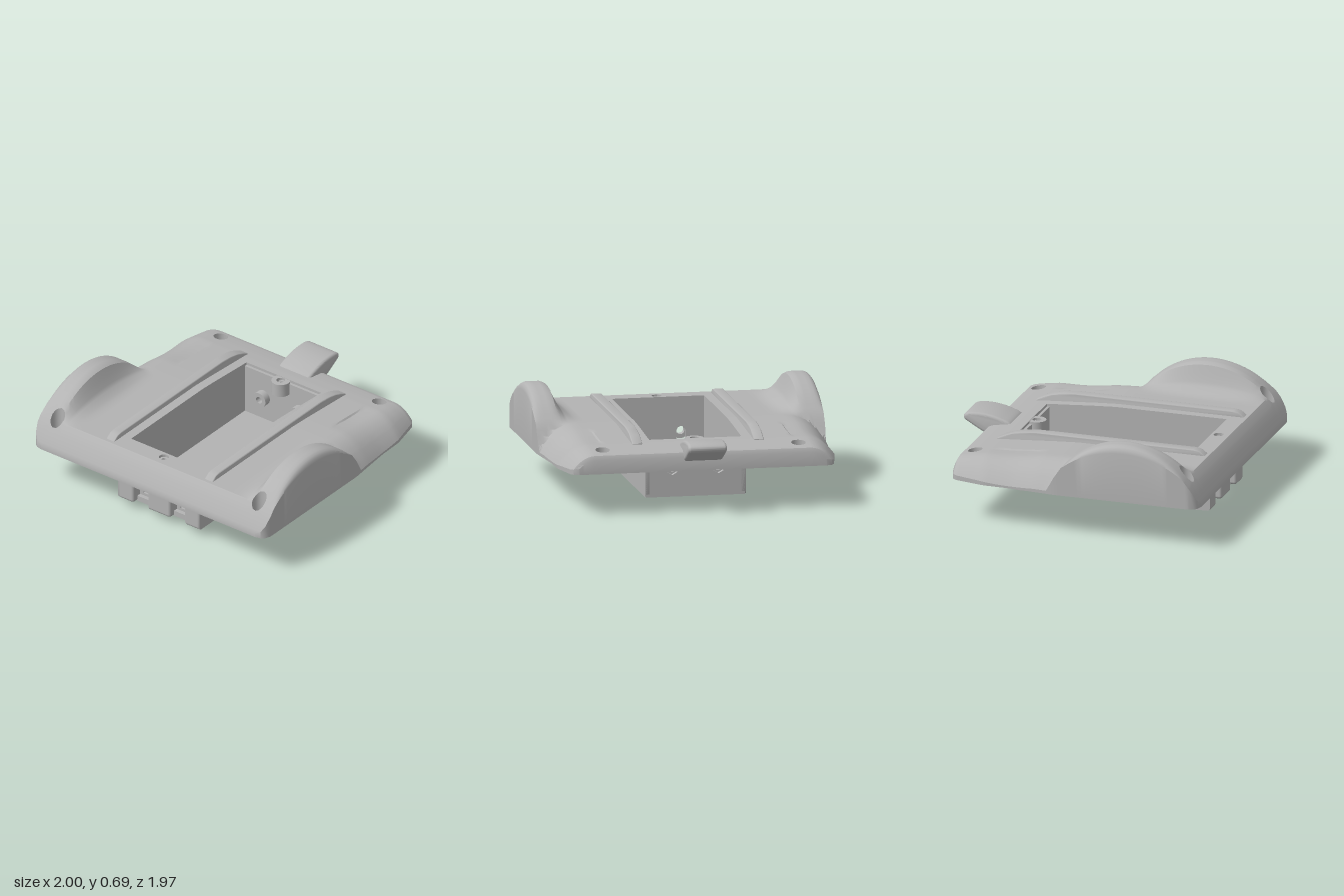
import * as THREE from 'three';
import { toCreasedNormals } from 'three/addons/utils/BufferGeometryUtils.js';
import { RoundedBoxGeometry } from 'three/addons/geometries/RoundedBoxGeometry.js';

const BASE = 0.29;
// Holes through the shell: x, z, radius, warp reach
const HOLES = [
  [0.68, -0.72, 0.05, 0.08], [-0.68, -0.72, 0.05, 0.08],
  [0.865, 0.86, 0.05, 0.08], [-0.865, 0.86, 0.05, 0.08],
  [0, 0.8, 0.035, 0.045],
];
const OPENING = { x: 0.32, z0: -0.54, z1: 0.75 };

// Linear interpolation in a list of [position, value]
function lookup(table, t) {
  if (t <= table[0][0]) return table[0][1];
  for (let i = 1; i < table.length; i++) {
    const [a, va] = table[i - 1], [b, vb] = table[i];
    if (t <= b) return va + (vb - va) * (t - a) / (b - a);
  }
  return table[table.length - 1][1];
}

const deck = [[-0.82, 0.385], [-0.805, 0.415], [-0.78, 0.427], [-0.7, 0.442], [-0.6, 0.455], [-0.4, 0.468], [-0.2, 0.482], [-0.05, 0.49]];
const gripSection = [[0.66, 0], [0.7, 0.03], [0.74, 0.12], [0.78, 0.3], [0.81, 0.56], [0.825, 0.8], [0.84, 0.93], [0.87, 1], [0.96, 1], [0.98, 0.95], [0.993, 0.87], [1, 0.75]];
const halfWidth = [[-0.82, 0.86], [-0.81, 0.893], [-0.79, 0.912], [-0.57, 0.962], [-0.38, 0.967], [-0.05, 1], [0.91, 1], [0.95, 0.985], [0.97, 0.96], [0.98, 0.92]];

// Height of the outer skin: a flat deck with two arched side grips
function height(x, z) {
  const a = Math.abs(x), dz = z - 0.44;
  const arc = 0.11 + Math.sqrt(Math.max(0, 0.334 - dz * dz));
  let body = lookup(deck, z);
  if (z < 0) body -= (body - 0.34) * Math.pow(Math.max(0, (a - 0.72) / 0.26), 2.4);
  if (a > 0.66 && z > -0.6 && z < -0.2) body -= 0.01 * Math.sin(Math.PI * (z + 0.6) / 0.4);
  if (z > 0.44) body = Math.min(body, arc);
  const grip = a < 0.66 ? 0 : arc > 0.49 ? 0.49 + (arc - 0.49) * lookup(gripSection, a) : arc;
  return Math.max(BASE, body, grip);
}

// Solid rim and corner bosses on the underside
function isSolid(x, z) {
  const a = Math.abs(x), e = 1e-6;
  return a > 0.93 - e || z > 0.92 - e || z < -0.78 + e ||
    (a > 0.58 - e && a < 0.78 + e && z < -0.62 + e) || (a > 0.77 - e && z > 0.76 - e);
}

function subdivide(breaks, step) {
  const out = [breaks[0]];
  for (let i = 1; i < breaks.length; i++) {
    const n = Math.ceil((breaks[i] - breaks[i - 1]) / step - 1e-6);
    for (let k = 1; k <= n; k++) out.push(breaks[i - 1] + (breaks[i] - breaks[i - 1]) * k / n);
  }
  return out;
}

// Hollow shell: upper skin, lower skin, and walls on every free edge
function shellGeometry() {
  const half = [0.035, 0.32, 0.39, 0.57, 0.58, 0.63, 0.655, 0.665, 0.73, 0.78, 0.79, 0.815, 0.84, 0.87, 0.915, 0.92, 0.93, 0.96, 0.98, 0.993, 1];
  half.splice(9, 0, 0.76, 0.77);
  const xs = subdivide([...half.map(v => -v).reverse(), ...half], 0.03);
  const zs = subdivide([-0.82, -0.805, -0.78, -0.77, -0.67, -0.62, -0.61, -0.54, -0.2, -0.08, 0, 0.75, 0.76, 0.765, 0.81, 0.835, 0.875, 0.885, 0.91, 0.92, 0.95, 0.97, 0.98], 0.03);
  const point = (i, j) => {
    let x = xs[i], z = zs[j];
    const solid = isSolid(x, z);
    for (const [cx, cz, r, reach] of HOLES) {
      const dx = x - cx, dz = z - cz, m = Math.max(Math.abs(dx), Math.abs(dz));
      if (m > reach || m < r - 1e-6) continue;
      const k = THREE.MathUtils.lerp(m / Math.hypot(dx, dz), 1, (m - r) / (reach - r));
      x = cx + dx * k; z = cz + dz * k;
    }
    const h = height(x, z), a = Math.abs(x);
    if (a > 0.75) x = Math.sign(x) * (0.75 + (a - 0.75) * (lookup(halfWidth, z) - 0.75) / 0.25);
    return { top: [x, h, z], bottom: [x, solid ? BASE : Math.max(BASE, h - 0.05), z] };
  };
  const grid = xs.map((_, i) => zs.map((_, j) => point(i, j)));
  const filled = (i, j) => {
    if (i < 0 || j < 0 || i >= xs.length - 1 || j >= zs.length - 1) return false;
    const x = (xs[i] + xs[i + 1]) / 2, z = (zs[j] + zs[j + 1]) / 2;
    if (Math.abs(x) < OPENING.x && z > OPENING.z0 && z < OPENING.z1) return false;
    return !HOLES.some(([cx, cz, r]) => Math.max(Math.abs(x - cx), Math.abs(z - cz)) < r);
  };
  const pos = [];
  const quad = (a, b, c, d) => pos.push(...a, ...b, ...c, ...a, ...c, ...d);
  for (let i = 0; i < xs.length - 1; i++) for (let j = 0; j < zs.length - 1; j++) {
    if (!filled(i, j)) continue;
    const c = [grid[i][j], grid[i][j + 1], grid[i + 1][j + 1], grid[i + 1][j]];
    quad(...c.map(p => p.top));
    quad(...c.map(p => p.bottom).reverse());
    [[-1, 0], [0, 1], [1, 0], [0, -1]].forEach(([di, dj], k) => {
      const p = c[k], q = c[(k + 1) % 4];
      if (!filled(i + di, j + dj)) quad(p.top, p.bottom, q.bottom, q.top);
    });
  }
  const g = new THREE.BufferGeometry();
  g.setAttribute('position', new THREE.Float32BufferAttribute(pos, 3));
  return toCreasedNormals(g, 0.55);
}

const shapeOf = pts => new THREE.Shape(pts.map(p => new THREE.Vector2(p[0], p[1])));

// Extrude a [z, y] side profile across x
function acrossX(pts, x0, x1, bevel = 0) {
  const g = new THREE.ExtrudeGeometry(shapeOf(pts), {
    depth: x1 - x0 - 2 * bevel, bevelEnabled: bevel > 0, bevelSize: bevel, bevelOffset: -bevel, bevelThickness: bevel, bevelSegments: 4,
  });
  g.rotateY(-Math.PI / 2).translate(x1 - bevel, 0, 0);
  return toCreasedNormals(g, 0.6);
}

// Ring with a hole, axis along y, from y0 to y1
function ring(inner, outer, y0, y1) {
  const pts = [[inner, y0], [outer, y0], [outer, y1], [inner, y1], [inner, y0]];
  return toCreasedNormals(new THREE.LatheGeometry(pts.map(p => new THREE.Vector2(...p)), 28), 0.6);
}

export function createModel() {
  const model = new THREE.Group();
  const grey = new THREE.MeshStandardMaterial({ color: 0xb3b3b3, side: THREE.DoubleSide });
  grey.name = 'plastic grey';
  const add = (name, geo, x = 0, y = 0, z = 0) => {
    const m = new THREE.Mesh(geo, grey);
    m.name = name;
    m.position.set(x, y, z);
    model.add(m);
    return m;
  };
  const box = (name, x0, x1, y0, y1, z0, z1, r = 0) => add(name,
    r ? new RoundedBoxGeometry(x1 - x0, y1 - y0, z1 - z0, 3, r) : new THREE.BoxGeometry(x1 - x0, y1 - y0, z1 - z0),
    (x0 + x1) / 2, (y0 + y1) / 2, (z0 + z1) / 2);

  add('shell', shellGeometry());

  // Counterbore seats in the four corner holes
  for (const [x, z] of HOLES.slice(0, 4)) add('screwSeat', ring(0.03, 0.051, BASE, 0.36), x, 0, z);
  add('frontScrewSeat', ring(0.018, 0.036, 0.44, 0.47), 0, 0, 0.8);
  add('rearScrewBoss', ring(0.03, 0.065, 0.36, 0.456), 0, 0, -0.505);
  add('rearScrewSeat', ring(0.015, 0.031, 0.38, 0.43), 0, 0, -0.505);

  // Side rails, and ribs under the deck
  const rail = [[0.85, 0.45], [0.85, 0.49], [0.81, 0.52], [0.77, 0.527], [-0.36, 0.528], [-0.45, 0.52], [-0.53, 0.503], [-0.59, 0.48], [-0.64, 0.455], [-0.64, 0.43]];
  for (const s of [-1, 1]) {
    add('rail', acrossX(rail, s * 0.422 - 0.036, s * 0.422 + 0.036, 0.008));
    box('deckRib', s * 0.46 - 0.012, s * 0.46 + 0.012, 0.35, 0.44, -0.6, 0.85);
  }

  // Rear tongue
  const tongue = new THREE.CatmullRomCurve3([[-0.64, 0.4], [-0.65, 0.445], [-0.72, 0.478], [-0.8, 0.498], [-0.88, 0.505], [-0.96, 0.497], [-0.988, 0.478], [-0.985, 0.452], [-0.94, 0.422], [-0.8, 0.352], [-0.72, 0.35]]
    .map(p => new THREE.Vector3(p[0], p[1], 0)), true, 'centripetal').getPoints(50).slice(0, -1).map(p => [p.x, p.y]);
  add('tongue', acrossX(tongue, -0.135, 0.135, 0.02));

  // Compartment side walls with rounded lower ends
  const wall = [[-0.53, 0.06], [0.835, 0.06], [0.849, 0.066], [0.855, 0.08], [0.855, 0.44], [-0.55, 0.44], [-0.55, 0.08], [-0.544, 0.066]];
  add('sideWall', acrossX(wall, 0.32, 0.348));
  add('sideWall', acrossX(wall, -0.352, -0.32));

  // Floor with two notched vents
  const floor = shapeOf([[-0.345, -0.54], [0.345, -0.54], [0.345, 0.78], [-0.345, 0.78]]);
  for (const c of [-0.16, 0.16]) {
    floor.holes.push(new THREE.Path([[-0.1, 0.7], [-0.09, 0.745], [0.09, 0.745], [0.1, 0.7], [0.07, 0.7], [0, 0.735], [-0.07, 0.7]]
      .map(p => new THREE.Vector2(c + p[0], p[1]))));
  }
  add('floor', new THREE.ExtrudeGeometry(floor, { depth: 0.02, bevelEnabled: false }).rotateX(Math.PI / 2), 0, 0.08, 0);

  // End walls: slots at the front, hexagonal nut recesses at the rear
  const endWall = (name, z, addHole) => {
    const s = shapeOf([[-0.345, 0.06], [0.345, 0.06], [0.345, 0.44], [-0.345, 0.44]]);
    for (const c of [-0.16, 0.16]) {
      const h = new THREE.Path();
      addHole(h, c);
      s.holes.push(h);
    }
    add(name, new THREE.ExtrudeGeometry(s, { depth: 0.03, bevelEnabled: false, curveSegments: 16 }), 0, 0, z);
  };
  endWall('frontWall', 0.75, (h, c) => {
    h.absarc(c, 0.25, 0.032, 0, Math.PI, false);
    h.lineTo(c - 0.032, 0.12);
    h.lineTo(c + 0.032, 0.12);
    h.closePath();
  });
  endWall('rearWall', -0.55, (h, c) => h.setFromPoints([0, 1, 2, 3, 4, 5].map(k =>
    new THREE.Vector2(c + 0.04 * Math.sin(k * Math.PI / 3), 0.25 + 0.04 * Math.cos(k * Math.PI / 3)))));

  // Front blocks, bosses between them, and locating pins
  box('frontBlock', -0.352, -0.22, 0.06, 0.44, 0.76, 0.856, 0.02);
  box('frontBlock', -0.1, 0.095, 0.06, 0.44, 0.76, 0.856, 0.02);
  box('frontBlock', 0.215, 0.348, 0.06, 0.44, 0.76, 0.856, 0.02);
  for (const x of [-0.16, 0.155]) {
    box('grooveSill', x - 0.065, x + 0.065, 0.06, 0.1, 0.75, 0.81);
    add('frontBoss', ring(0.03, 0.058, 0, 0.05).rotateX(Math.PI / 2), x, 0.25, 0.78);
    add('rearBoss', ring(0.025, 0.055, 0, 0.05).rotateX(Math.PI / 2), x, 0.25, -0.52);
    for (const z of [0.71, 0.15]) add('pin', new THREE.CylinderGeometry(0.034, 0.034, 0.07, 24), x, 0.035, z);
  }
  return model;
}
